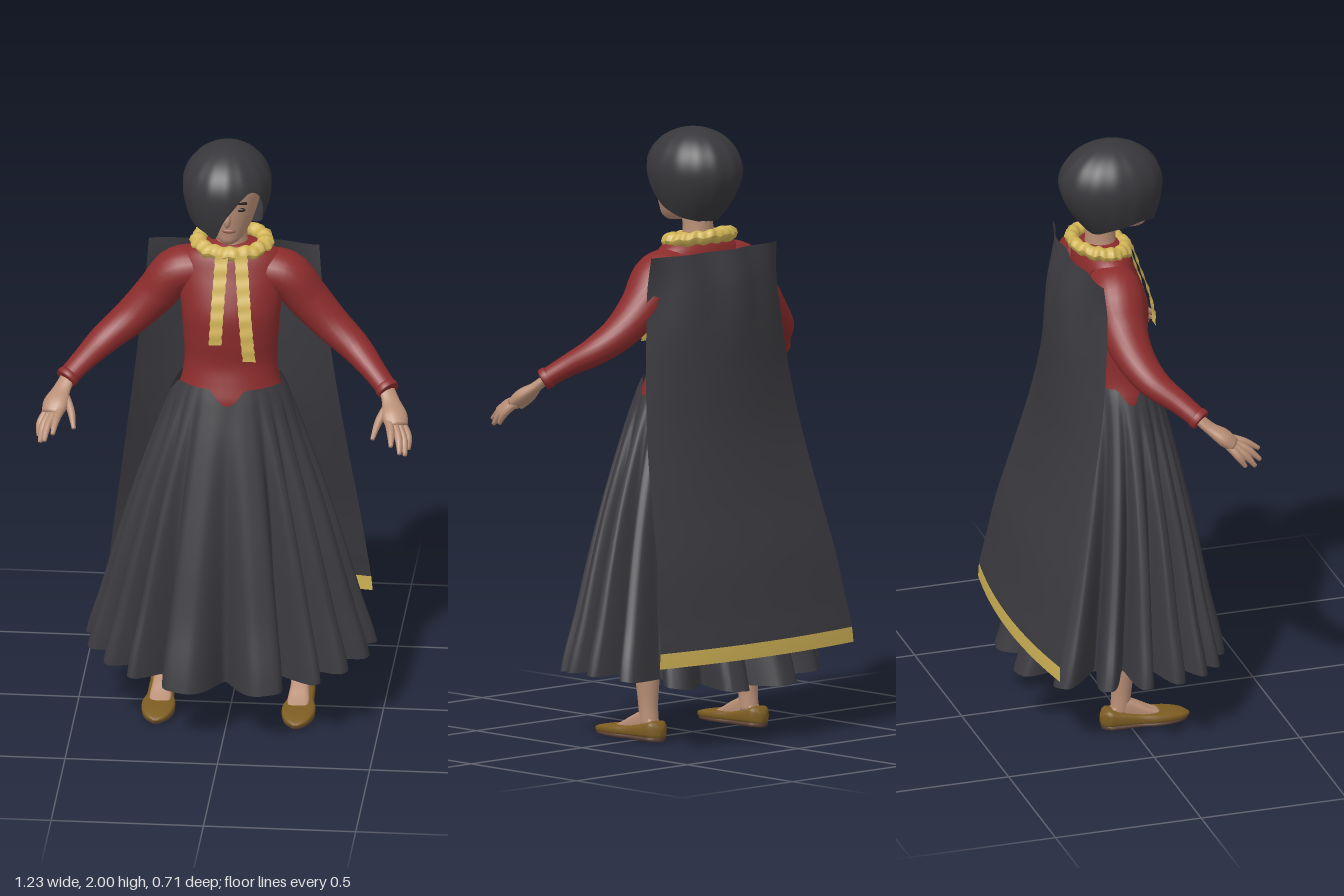
import * as THREE from 'three';

const mat = (name, color, side = THREE.FrontSide) =>
  Object.assign(new THREE.MeshStandardMaterial({ color, side }), { name });

// Smooth lookup through rows of [key, value, value...]
function track(rows) {
  const size = rows[0].length - 1;
  const f = new THREE.CubicInterpolant(rows.map(r => r[0]), rows.flatMap(r => r.slice(1)), size, new Float32Array(size));
  return k => Array.from(f.evaluate(k));
}

// Skin a stack of closed rings of [x, y, z] points
function loft(rings, capped = true) {
  const n = rings[0].length, pos = rings.flat(2), idx = [];
  for (let i = 0; i < rings.length - 1; i++) {
    for (let j = 0; j < n; j++) {
      const a = i * n + j, b = i * n + (j + 1) % n;
      idx.push(a, b, b + n, a, b + n, a + n);
    }
  }
  if (capped) {
    [[rings[0], 0, true], [rings.at(-1), (rings.length - 1) * n, false]].forEach(([ring, base, flip]) => {
      const c = pos.length / 3;
      pos.push(...[0, 1, 2].map(k => ring.reduce((sum, p) => sum + p[k], 0) / n));
      for (let j = 0; j < n; j++) {
        const a = base + j, b = base + (j + 1) % n;
        flip ? idx.push(c, b, a) : idx.push(c, a, b);
      }
    });
  }
  const g = new THREE.BufferGeometry();
  g.setAttribute('position', new THREE.Float32BufferAttribute(pos, 3));
  g.setIndex(idx);
  g.computeVertexNormals();
  return g;
}

const around = (n, fn) => Array.from({ length: n }, (_, j) => fn(j / n * Math.PI * 2));
const steps = (n, fn) => Array.from({ length: n + 1 }, (_, i) => fn(i / n));
const boxy = v => Math.sign(v) * Math.abs(v) ** 0.6;

// Upright body from rows of [y, half width, front z, back z]
function body(rows, n = 40, levels = 32) {
  const f = track(rows), y0 = rows[0][0], y1 = rows.at(-1)[0];
  return loft(steps(levels, t => {
    const y = y0 + (y1 - y0) * t, [rx, zf, zb] = f(y);
    return around(n, a => [rx * Math.sin(a), y, (zf + zb) / 2 + (zf - zb) / 2 * Math.cos(a)]);
  }));
}

// Limb along rows of [x, y, z, radius]; flat squashes it vertically
function limb(rows, n = 16, levels = 24, flat = 1, ref = new THREE.Vector3(0, 1, 0)) {
  const curve = new THREE.CatmullRomCurve3(rows.map(r => new THREE.Vector3(r[0], r[1], r[2])));
  const radius = track(rows.map((r, i) => [i, r[3]]));
  return loft(steps(levels, t => {
    const p = curve.getPoint(t), T = curve.getTangent(t), r = radius(t * (rows.length - 1))[0];
    const u = ref.clone().cross(T).normalize(), v = T.clone().cross(u);
    return around(n, a => p.clone().addScaledVector(u, r * Math.cos(a)).addScaledVector(v, flat * r * Math.sin(a)).toArray());
  }));
}

// Foot form along z from rows of [z, half width, top, bottom]
function footForm(rows, x) {
  const f = track(rows), z0 = rows[0][0], z1 = rows.at(-1)[0];
  return loft(steps(28, t => {
    const z = z0 + (z1 - z0) * t, [w, top, low] = f(z);
    return around(24, a => [x + w * boxy(Math.cos(a)), (top + low) / 2 + (top - low) / 2 * boxy(Math.sin(a)), z]);
  }));
}

// Open sheet over u, v in 0..1
function sheet(nu, nv, fn) {
  const g = new THREE.PlaneGeometry(1, 1, nu, nv), p = g.attributes.position;
  for (let i = 0; i < p.count; i++) p.setXYZ(i, ...fn(p.getX(i) + 0.5, p.getY(i) + 0.5));
  g.computeVertexNormals();
  return g;
}

export function createModel() {
  const group = new THREE.Group();
  const cloth = mat('charcoalCloth', 0x3b3b40, THREE.DoubleSide);
  const hairMat = mat('darkHair', 0x38383c, THREE.DoubleSide);
  const red = mat('redBodice', 0x8c2c2c);
  const gold = mat('goldTrim', 0xd0b356, THREE.DoubleSide);
  const skin = mat('skin', 0xb98f76);
  const shoeMat = mat('brownShoe', 0x7c5c22);
  const soleMat = mat('sole', 0x5a4034);
  const lipMat = mat('lips', 0x94604f);
  const dark = mat('darkDetail', 0x2c201c);
  const add = (name, geo, m) => {
    const mesh = new THREE.Mesh(geo, m);
    mesh.name = name;
    group.add(mesh);
    return mesh;
  };
  const blob = (name, m, p, s) => {
    const mesh = add(name, new THREE.SphereGeometry(1, 16, 12), m);
    mesh.position.set(...p);
    mesh.scale.set(...s);
  };

  // Torso, neck and head
  add('torso', body([[1.06, .17, .135, -.09], [1.12, .178, .15, -.1], [1.18, .16, .136, -.098], [1.25, .152, .12, -.095],
    [1.33, .156, .128, -.1], [1.42, .163, .13, -.105], [1.5, .172, .105, -.11], [1.56, .178, .08, -.11],
    [1.6, .165, .065, -.105], [1.635, .118, .045, -.09], [1.65, .07, .02, -.07]]), red);
  add('neck', body([[1.58, .07, .035, -.08], [1.65, .052, .025, -.075], [1.75, .052, .035, -.075]], 24, 10), skin);
  add('head', body([[1.688, .018, .115, .065], [1.7, .04, .13, .01], [1.73, .062, .137, -.04], [1.77, .08, .143, -.08],
    [1.82, .094, .148, -.11], [1.88, .098, .148, -.125], [1.93, .085, .12, -.11], [1.965, .045, .06, -.06]]), skin);
  blob('nose', skin, [0, 1.788, .147], [.013, .026, .019]);
  blob('lips', lipMat, [.004, 1.746, .136], [.023, .008, .008]);
  for (const s of [1, -1]) {
    blob('eye', dark, [s * .043, 1.822, .133], [.016, .007, .007]);
    const brow = add('eyebrow', new THREE.BoxGeometry(.04, .006, .009), dark);
    brow.position.set(s * .044, 1.846, .136);
    brow.rotation.set(0, s * .35, s * -.1);
  }

  // Bob haircut with a fringe swept over one eye; the hem height follows the angle
  const hem = track([[-180, 1.695], [-135, 1.7], [-90, 1.735], [-60, 1.75], [-30, 1.735], [-12, 1.722], [0, 1.785], [12, 1.83],
    [35, 1.885], [52, 1.865], [68, 1.78], [90, 1.73], [135, 1.7], [180, 1.695]]);
  const hairRings = steps(30, t => around(96, a => {
    const h = hem(((a * 180 / Math.PI + 180) % 360) - 180)[0];
    const y = 2 - (2 - h) * (1 - t) ** 2, c = Math.cos(a);
    const taper = .36 - .15 * c;
    let s = y > 1.86 ? Math.sqrt(Math.max(0, 1 - ((y - 1.86) / .14) ** 2)) : 1 - taper * ((1.86 - y) / .16) ** 1.7;
    s *= 1 + .008 * Math.sin(a * 14);
    return [-.013 + .146 * s * Math.sin(a), y, .006 + .172 * s * c];
  }));
  add('hair', loft(hairRings, false), hairMat);

  // Sleeves, hands and feet
  for (const s of [1, -1]) {
    const m = rows => rows.map(([x, ...r]) => [s * x, ...r]);
    add('sleeve', limb(m([[.1, 1.55, -.025, .08], [.18, 1.53, -.025, .086], [.25, 1.445, -.027, .079], [.33, 1.362, -.01, .067],
      [.41, 1.3, .03, .055], [.475, 1.25, .095, .042], [.53, 1.203, .15, .036]]), 24, 32, .87), red);
    add('cuff', limb(m([[.515, 1.216, .137, .037], [.523, 1.209, .144, .04], [.531, 1.202, .152, .038]]), 24, 6, .92), red);
    add('palm', limb(m([[.52, 1.212, .14, .026], [.541, 1.175, .18, .031], [.556, 1.145, .22, .043], [.567, 1.118, .25, .036]]), 16, 14, .6), skin);
    const fingers = [
      [[.53, 1.165, .19], [.505, 1.13, .24], [.49, 1.092, .298]],
      [[.54, 1.132, .245], [.55, 1.115, .295], [.555, 1.088, .342]],
      [[.558, 1.125, .25], [.577, 1.095, .3], [.583, 1.06, .338]],
      [[.572, 1.12, .245], [.593, 1.085, .285], [.599, 1.046, .316]],
      [[.582, 1.122, .232], [.604, 1.088, .258], [.607, 1.052, .28]]];
    fingers.forEach((f, i) => add(i ? 'finger' : 'thumb',
      limb(m(f.map((p, k) => [...p, [.015, .013, .007][k]])), 10, 10), skin));

    add('leg', limb(m([[.225, .05, -.03, .032], [.225, .12, -.025, .033], [.225, .22, -.022, .042], [.22, .4, -.02, .052],
      [.18, .65, 0, .058], [.09, 1.08, .01, .07]]), 20, 28, 1, new THREE.Vector3(0, 0, 1)), skin);
    add('instep', footForm([[-.06, .022, .07, .02], [-.03, .029, .1, .02], [.02, .032, .084, .02], [.07, .036, .056, .02], [.115, .03, .036, .02]], s * .226), skin);
    const shoe = [[-.097, .012, .05, .015], [-.085, .032, .066, .009], [-.04, .041, .06, .009], [.03, .044, .046, .009],
      [.09, .055, .043, .009], [.15, .049, .037, .009], [.19, .03, .028, .01], [.206, .008, .02, .012]];
    add('shoe', footForm(shoe, s * .23), shoeMat);
    add('sole', footForm(shoe.map(([z, w]) => [z * .97, w * .97, .018, 0]), s * .23), soleMat);
  }

  // Pleated skirt: two broad front panels, then narrower folds; all deepen toward the hem
  const skirt = track([[.15, .49, .378, -.368], [.25, .475, .36, -.338], [.4, .43, .325, -.29], [.6, .374, .286, -.235],
    [.8, .314, .243, -.185], [1, .245, .196, -.138], [1.1, .208, .169, -.118], [1.15, .188, .155, -.11], [1.2, .162, .138, -.103]]);
  const folds = track([[0, 0], [32, 1], [47, 2], [64, 3], [84, 4], [104, 5], [126, 6], [152, 7], [180, 8]]);
  const skirtRings = steps(36, t => around(280, a => {
    const low = .18 + .055 * Math.sin(a) ** 2, top = 1.178 - .05 * Math.max(0, Math.cos(4 * a)) ** 2;
    const y = low + (top - low) * t, [rx, zf, zb] = skirt(y);
    const turn = folds(180 - Math.abs(180 - a * 180 / Math.PI))[0];
    const wave = .5 + .5 * Math.cos(turn * Math.PI * 2);
    const k = 1 - (.36 + .04 * Math.sin(5 * a)) * (1 - t) * wave ** 2.2;
    return [rx * k * Math.sin(a), y, (zf + zb) / 2 + (zf - zb) / 2 * k * Math.cos(a)];
  }));
  add('skirt', loft(skirtRings, false), cloth);

  // Cape with a gold hem band, rows of [y, half width, centre z, forward curl of the edges]
  const cape = track([[.28, .437, -.34, .037], [.34, .431, -.338, .037], [.4, .424, -.325, .036], [.6, .398, -.288, .037],
    [.8, .371, -.24, .042], [1, .345, -.206, .058], [1.2, .32, -.193, .078], [1.35, .304, -.188, .088], [1.5, .288, -.168, .078], [1.605, .28, -.13, .03]]);
  const drape = (y0, y1) => (u, v) => {
    const y = y0 + (y1 - y0) * v, q = u * 2 - 1, [w, z, curl] = cape(y);
    const ripple = .006 * Math.sin(q * 9) * THREE.MathUtils.smoothstep(y, 1.25, 1.5);
    return [q * w, y, z + curl * q * q + ripple];
  };
  add('cape', sheet(32, 40, drape(.335, 1.605)), cloth);
  add('capeHem', sheet(32, 2, drape(.285, .335)), gold);

  // Ruffled collar and two hanging ribbons
  const collar = new THREE.TorusGeometry(1, .25, 10, 144).rotateX(Math.PI / 2);
  const cp = collar.attributes.position;
  for (let i = 0; i < cp.count; i++) {
    const x = cp.getX(i), z = cp.getZ(i), a = Math.atan2(z, x), r = Math.hypot(x, z);
    const ruffle = 1 + (r - .75) * (.05 * Math.sin(a * 23) + .04 * Math.sin(a * 9));
    cp.setXYZ(i, x * .109 * ruffle, 1.64 + cp.getY(i) * .095 - .013 * z + .003 * Math.sin(a * 13), -.03 + z * .085 * ruffle);
  }
  collar.computeVertexNormals();
  add('collar', collar, gold);
  const hang = track([[1.26, .147], [1.38, .146], [1.45, .133], [1.55, .1], [1.63, .074]]);
  for (const [topX, endX, endY] of [[-.025, -.04, 1.34], [.038, .072, 1.285]]) {
    add('ribbon', sheet(2, 28, (u, v) => {
      const y = endY + (1.63 - endY) * v;
      return [endX + (topX - endX) * v + (u - .5) * .042 + .0015 * Math.sin(y * 190 + u * 2), y, hang(y)[0] + .0015 * Math.sin(y * 120)];
    }), gold);
  }
  return group;
}
